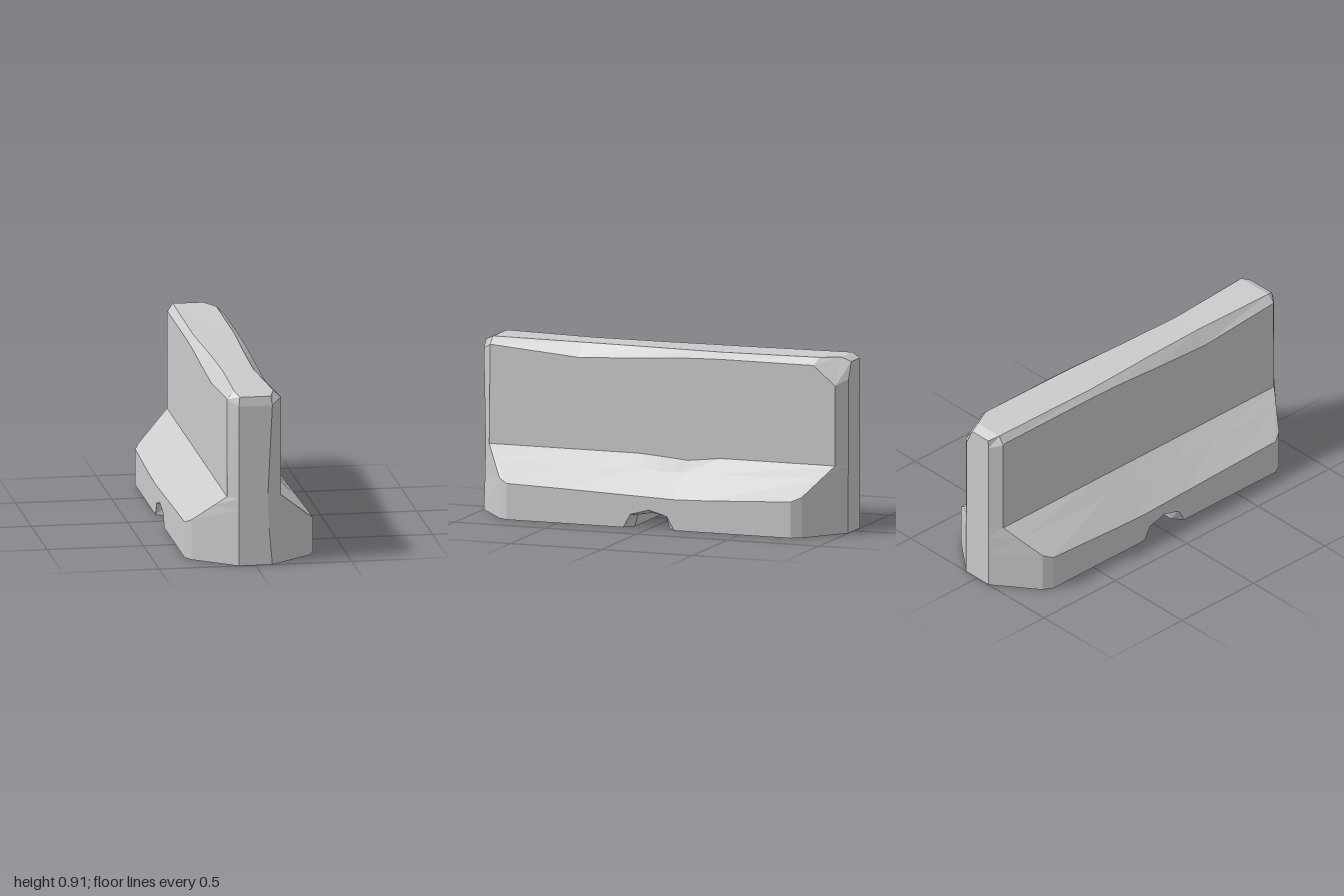
import * as THREE from 'three';

// Stations along each long side, between the end corners
const COLS = [0.46, 0.14, 0.10, 0, -0.10, -0.14, -0.32];
// Drain arch, [z, y]: wide mouth on the side walls, narrower inside
const MOUTH = [[0.14, 0], [0.10, 0.07], [0, 0.098], [-0.10, 0.07], [-0.14, 0]];
const THROAT = [[0.095, 0], [0.08, 0.06], [0, 0.076], [-0.075, 0.062], [-0.095, 0]];

const lerp = (a, b, t) => a.map((v, i) => v + (b[i] - v) * t);

// One half of every level, as [x, y, z] points from front end to back end:
// end edge, corner, corner, stations, corner, corner, end edge
function halfLevels(right) {
  const foot = [
    [0.087, 0, 1], [0.305, 0, 0.83], [0.333, 0, 0.78],
    ...COLS.map((z, i) => {
      const m = MOUTH[i - 1];
      return m ? [0.333, m[1], m[0]] : [0.333, 0, z];
    }),
    [0.333, 0, -0.78], [0.305, 0, -0.83], [0.085, 0, -1],
  ];
  const shoulder = [
    [right ? 0.07 : 0.087, 0.19, 1], [0.305, 0.21, 0.83], [0.333, 0.188, 0.78],
    ...COLS.map(z => [0.333, 0.16 + 0.03 * Math.abs(z + 0.15) / 0.93, z]),
    [0.333, 0.188, -0.78], [0.305, 0.21, -0.83], [0.085, 0.19, -1],
  ];
  const waist = [
    [right ? 0.063 : 0.087, 0.355, 1], [0.14, 0.355, 0.95], [0.14, 0.355, 0.95],
    ...COLS.map(z => [0.14, 0.355, z]),
    [0.14, 0.355, -0.95], [0.14, 0.355, -0.95], [0.083, 0.355, -1],
  ];
  const slope = shoulder.map((p, i) => lerp(p, waist[i], 0.62));
  // chipped dent where the slope meets the wall
  if (right) [0, 0.002, 0.009, 0.017, 0.021].forEach((d, i) => { waist[i + 4][1] -= d; });

  // worn upper edge of the wall
  const wallY = [0.832, 0.848, 0.85, 0.857, 0.863, 0.865, 0.87];
  const wall = [
    [0.087, 0.84, 1], [0.14, 0.87, 0.945], [0.14, 0.87, 0.94],
    ...COLS.map((z, i) => [0.14, wallY[i], z]),
    ...(right
      ? [[0.14, 0.87, -0.83], [0.14, 0.77, -0.95], [0.08, 0.80, -1]]
      : [[0.14, 0.87, -0.93], [0.14, 0.865, -0.95], [0.083, 0.84, -1]]),
  ];
  const topX = right
    ? [0.076, 0.085, 0.086, 0.090, 0.094, 0.096, 0.102]
    : [0.085, 0.092, 0.093, 0.098, 0.102, 0.104, 0.110];
  const top = [
    [0.08, 0.887, 0.99], [0.10, 0.907, 0.945], [0.10, 0.907, 0.94],
    ...COLS.map((z, i) => [topX[i], 0.901, z]),
    ...(right
      ? [[0.10, 0.907, -0.85], [0.05, 0.907, -0.95], [0.04, 0.885, -1]]
      : [[0.11, 0.907, -0.93], [0.11, 0.907, -0.95], [0.08, 0.885, -1]]),
  ];
  const levels = [foot, shoulder, slope, waist, wall, top];
  return right ? levels : levels.map(l => l.map(([x, y, z]) => [-x, y, z]));
}

function buildBody() {
  const out = [];
  const tri = (...pts) => {
    const [a, b, c] = pts.map(p => new THREE.Vector3(...p));
    if (new THREE.Triangle(a, b, c).getArea() > 1e-7) out.push(...pts.flat());
  };
  const quad = (a, b, c, d) => { tri(a, b, c); tri(a, c, d); };

  const R = halfLevels(true), L = halfLevels(false);
  const n = R[0].length;

  // outer skin, level by level
  const rings = R.map((half, k) => [...half, ...L[k].slice().reverse()]);
  for (let k = 0; k < rings.length - 1; k++) {
    const lo = rings[k], hi = rings[k + 1];
    for (let i = 0; i < lo.length; i++) {
      const j = (i + 1) % lo.length;
      quad(lo[i], lo[j], hi[j], hi[i]);
    }
  }

  // top cap
  const topR = R[R.length - 1], topL = L[L.length - 1];
  for (let i = 0; i < n - 1; i++) quad(topR[i], topR[i + 1], topL[i + 1], topL[i]);

  // underside with the flared drain running across
  const inner = (p, i, s) => {
    const t = THROAT[i - 4];
    return t ? [s * 0.28, t[1], t[0]] : [p[0] * 0.84, p[1], p[2]];
  };
  const strips = [
    R[0],
    R[0].map((p, i) => inner(p, i, 1)),
    L[0].map((p, i) => inner(p, i, -1)),
    L[0],
  ];
  for (let s = 0; s < 3; s++) {
    const a = strips[s], b = strips[s + 1];
    for (let i = 0; i < n - 1; i++) quad(a[i], b[i], b[i + 1], a[i + 1]);
  }

  const g = new THREE.BufferGeometry();
  g.setAttribute('position', new THREE.Float32BufferAttribute(out, 3));
  g.computeVertexNormals();
  return g;
}

export function createModel() {
  const group = new THREE.Group();
  group.name = 'roadBarrier';
  const concrete = new THREE.MeshStandardMaterial({ color: 0xcccccc, flatShading: true });
  const body = new THREE.Mesh(buildBody(), concrete);
  body.name = 'concreteBody';
  group.add(body);
  return group;
}
